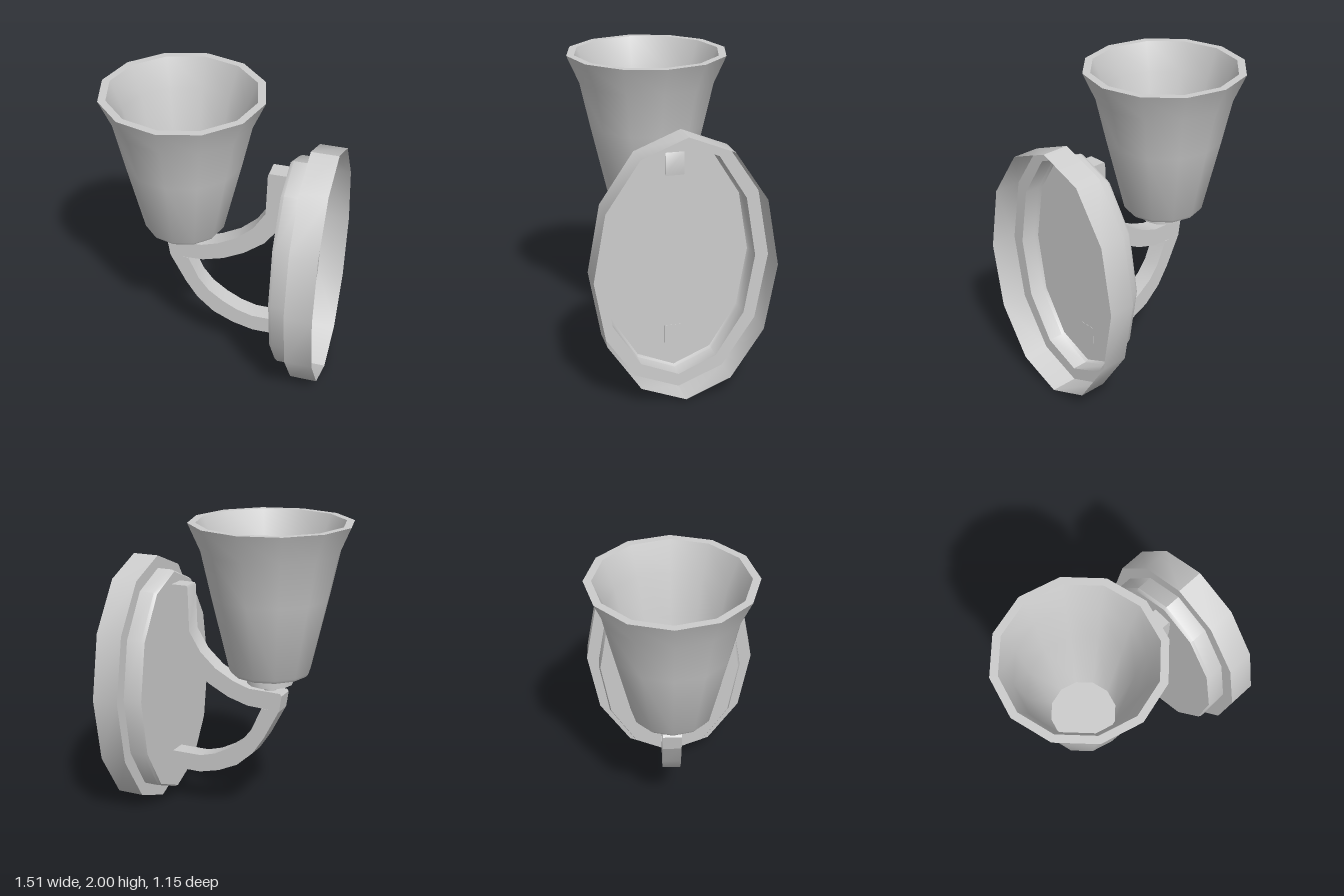
import * as THREE from 'three';
import { toCreasedNormals } from 'three/addons/utils/BufferGeometryUtils.js';

const material = new THREE.MeshStandardMaterial({ color: 0xcccccc, side: THREE.DoubleSide });
const CREASE = 0.7;
const SHADE_X = -0.235;
const points = (list) => list.map(([x, y]) => new THREE.Vector2(x, y));

function part(name, geometry) {
  const mesh = new THREE.Mesh(toCreasedNormals(geometry, CREASE), material);
  mesh.name = name;
  return mesh;
}

// Twelve-sided turned part around the upright axis of the shade
function turned(name, profile) {
  const mesh = part(name, new THREE.LatheGeometry(points(profile), 12));
  mesh.position.x = SHADE_X;
  return mesh;
}

// Flat bar cut from a side outline and centred on z = 0
function bar(name, outline, width = 0.12) {
  const geometry = new THREE.ExtrudeGeometry(new THREE.Shape(points(outline)), { depth: width, bevelEnabled: false });
  geometry.translate(0, 0, -width / 2);
  return part(name, geometry);
}

// Stepped oval dish, open towards the wall (+x); each ring is stretched upright by a fixed amount
function wallPlate() {
  const profile = [[0, 0.455], [0.478, 0.455], [0.49, 0.475], [0.49, 0.577], [0.575, 0.577], [0.575, 0.755]];
  const geometry = new THREE.LatheGeometry(points(profile), 12);
  geometry.rotateZ(-Math.PI / 2);
  const pos = geometry.attributes.position;
  for (let i = 0; i < pos.count; i++) {
    const r = Math.hypot(pos.getY(i), pos.getZ(i));
    if (r > 0.01) pos.setY(i, pos.getY(i) * (r + 0.28) / r);
  }
  geometry.translate(0, 0.858, 0);
  return part('wallPlate', geometry);
}

export function createModel() {
  const group = new THREE.Group();
  group.name = 'wallLamp';

  group.add(wallPlate());

  // Flared hollow shade: outside upwards, over the rim, then inside down to the floor
  group.add(turned('shade', [
    [0, 1], [0.15, 1], [0.25, 1.02], [0.264, 1.04], [0.38, 1.53], [0.445, 1.82], [0.525, 2],
    [0.475, 2], [0.4, 1.82], [0.335, 1.53], [0.212, 1.06], [0, 1.06],
  ]));
  group.add(turned('shadeHolder', [[0, 0.95], [0.152, 0.95], [0.152, 1.002], [0, 1.002]]));
  group.add(turned('stem', [[0, 0.88], [0.042, 0.88], [0.042, 0.96], [0, 0.96]]));

  // Upper arm sweeps from under the shade up along the plate
  group.add(bar('upperArm', [
    [-0.325, 0.777], [-0.1, 0.787], [0.04, 0.828], [0.18, 0.9], [0.32, 1.01], [0.425, 1.16],
    [0.457, 1.4], [0.457, 1.53], [0.445, 1.545], [0.335, 1.545], [0.328, 1.53], [0.32, 1.24],
    [0.24, 1.11], [0.13, 1.01], [0, 0.94], [-0.11, 0.905], [-0.33, 0.9], [-0.342, 0.885],
  ]));

  // Lower arm curves back down to the plate
  group.add(bar('lowerArm', [
    [-0.325, 0.78], [-0.22, 0.58], [-0.14, 0.46], [-0.025, 0.357], [0.11, 0.295], [0.25, 0.26], [0.457, 0.26],
    [0.457, 0.38], [0.245, 0.38], [0.14, 0.41], [0.04, 0.462], [-0.06, 0.535], [-0.13, 0.625], [-0.2, 0.78],
  ]));

  return group;
}
